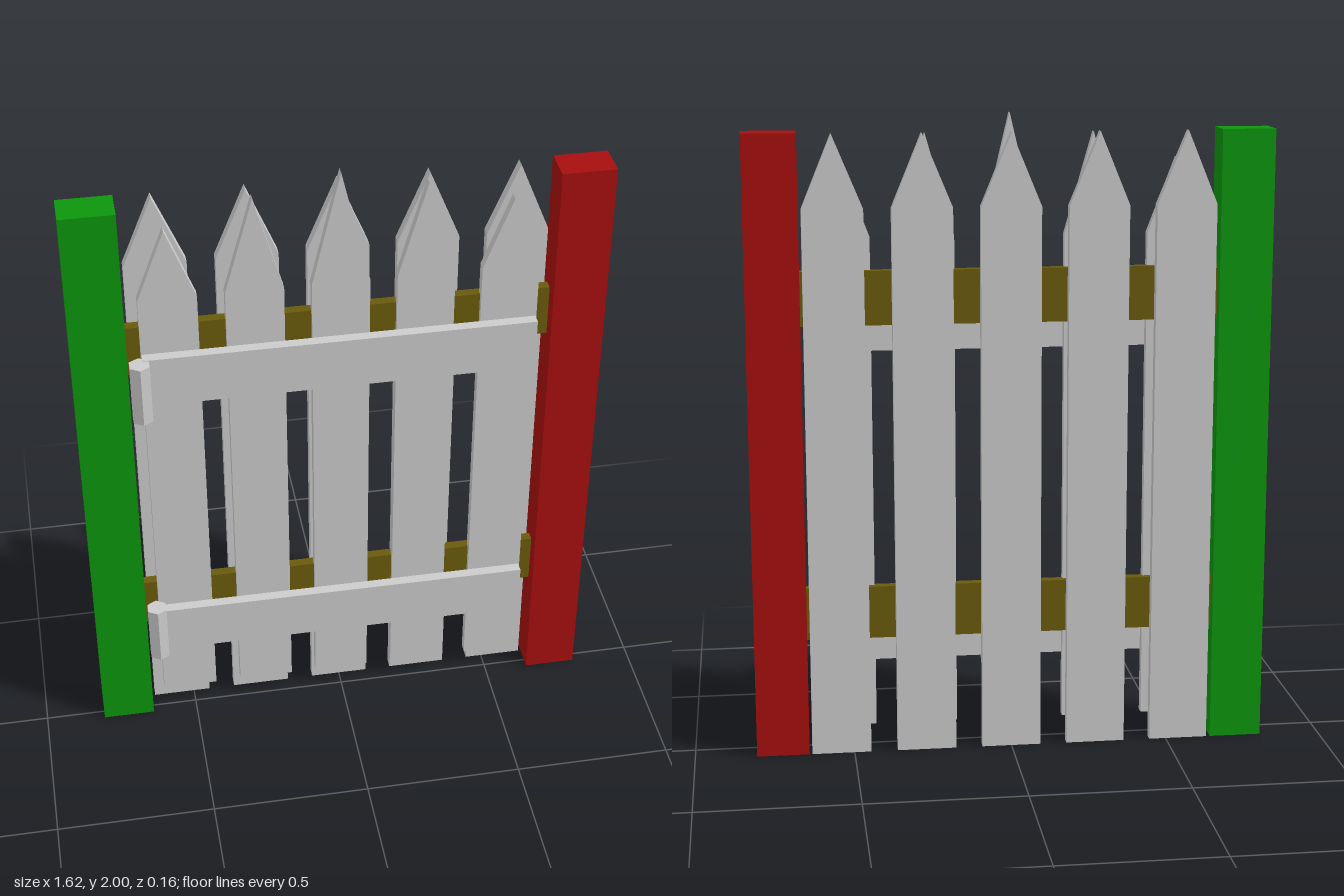
import * as THREE from 'three';

const paint = (color) => new THREE.MeshStandardMaterial({ color });
const grey = paint(0xcccccc);
const green = paint(0x0c960c);
const red = paint(0xa80e0e);
const olive = paint(0x6a5a0c);

// Box given by its extents on each axis
function board(name, [x0, x1], [y0, y1], [z0, z1], material) {
  const mesh = new THREE.Mesh(new THREE.BoxGeometry(x1 - x0, y1 - y0, z1 - z0), material);
  mesh.position.set((x0 + x1) / 2, (y0 + y1) / 2, (z0 + z1) / 2);
  mesh.name = name;
  return mesh;
}

// Flat board with a pointed top
function picket(name, x, width, bottom, shoulder, tip, z0, z1) {
  const w = width / 2;
  const shape = new THREE.Shape([
    new THREE.Vector2(-w, bottom),
    new THREE.Vector2(w, bottom),
    new THREE.Vector2(w, shoulder),
    new THREE.Vector2(0, tip),
    new THREE.Vector2(-w, shoulder),
  ]);
  const geometry = new THREE.ExtrudeGeometry(shape, { depth: z1 - z0, bevelEnabled: false });
  const mesh = new THREE.Mesh(geometry, grey);
  mesh.position.set(x, 0, z0);
  mesh.name = name;
  return mesh;
}

export function createModel() {
  const model = new THREE.Group();
  model.name = 'picketGate';

  // Posts
  model.add(board('rightPost', [-0.81, -0.645], [0, 1.947], [-0.08, 0.03], green));
  model.add(board('leftPost', [0.642, 0.807], [0, 1.947], [-0.08, 0.03], red));

  // Fixed fence: rails with equal pickets behind them
  const fence = new THREE.Group();
  fence.name = 'fence';
  for (const y of [0.367, 1.362]) {
    fence.add(board('fenceRail', [-0.645, 0.642], [y, y + 0.167], [-0.048, -0.017], olive));
  }
  for (let i = -2; i <= 2; i++) {
    fence.add(picket('fencePicket', i * 0.27, 0.186, 0, 1.72, 1.945, -0.08, -0.048));
  }
  model.add(fence);

  // Gate: pickets rising to the middle, rails in front, hinges at one end
  const gate = new THREE.Group();
  gate.name = 'gate';
  const tips = [2, 1.94, 1.86];
  for (let i = -2; i <= 2; i++) {
    gate.add(picket('gatePicket', i * 0.257, 0.175, 0.075, 1.63, tips[Math.abs(i)], -0.03, 0));
  }
  for (const y of [0.28, 1.275]) {
    gate.add(board('gateRail', [-0.6, 0.598], [y, y + 0.167], [0, 0.033], grey));
  }
  const hinge = new THREE.CylinderGeometry(0.034, 0.034, 0.2, 6).toNonIndexed();
  hinge.computeVertexNormals();
  for (const y of [0.38, 1.34]) {
    const mesh = new THREE.Mesh(hinge, grey);
    mesh.position.set(-0.611, y, 0.046);
    mesh.name = 'hinge';
    gate.add(mesh);
  }
  model.add(gate);

  return model;
}
